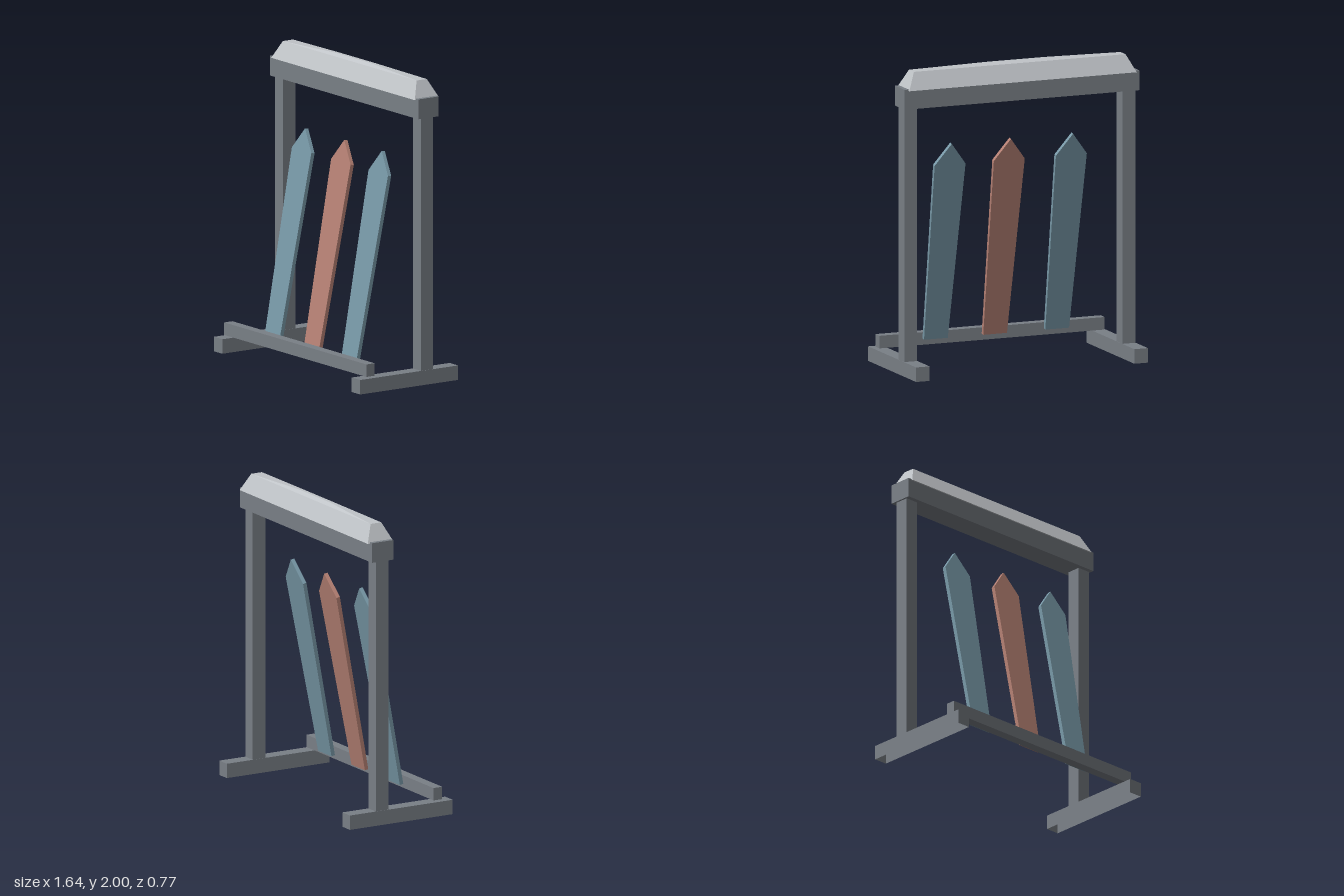
import * as THREE from 'three';
import { ConvexGeometry } from 'three/addons/geometries/ConvexGeometry.js';

const flat = (name, color, side = THREE.FrontSide) => {
  const m = new THREE.MeshStandardMaterial({ color, side, flatShading: true });
  m.name = name;
  return m;
};

export function createModel() {
  const group = new THREE.Group();
  const frame = flat('frame grey', 0x7a8087, THREE.DoubleSide);
  const stone = flat('pale cap grey', 0xc0c4c8);
  const blue = flat('slate blue', 0x7899a8);
  const red = flat('dusty red', 0xb68174);

  const add = (name, geometry, material) => {
    const mesh = new THREE.Mesh(geometry, material);
    mesh.name = name;
    group.add(mesh);
    return mesh;
  };
  // Box given by its lower and upper limits on each axis
  const box = (x0, x1, y0, y1, z0, z1) =>
    new THREE.BoxGeometry(x1 - x0, y1 - y0, z1 - z0)
      .translate((x0 + x1) / 2, (y0 + y1) / 2, (z0 + z1) / 2);

  // Feet (hollow underneath) and posts
  for (const [side, x0, x1] of [['left', 0.716, 0.81], ['right', -0.81, -0.716]]) {
    const foot = box(x0, x1, 0, 0.095, -0.385, 0.385);
    const index = Array.from(foot.index.array);
    index.splice(18, 6); // leave out the underside
    foot.setIndex(index);
    foot.clearGroups();
    add(side + 'Foot', foot, frame);
    add(side + 'Post', box(x0 + 0.002, x1 - 0.002, 0.09, 1.76, -0.19, -0.095), frame);
  }

  // Top beam and low front rail
  add('topBeam', box(-0.82, 0.82, 1.75, 1.88, -0.225, -0.065), frame);
  add('frontRail', box(-0.787, 0.787, 0.103, 0.185, 0.255, 0.32), frame);

  // Sloped cap with a slightly raised middle
  const capPoints = [];
  for (const s of [-1, 1]) {
    for (const [x, y, z] of [
      [0.795, 1.872, -0.055], [0.795, 1.872, -0.242],
      [0.74, 1.985, -0.108], [0.74, 1.985, -0.188],
      [0.2, 2.0, -0.135], [0.2, 2.0, -0.16],
    ]) capPoints.push(new THREE.Vector3(s * x, y, z));
  }
  add('cap', new ConvexGeometry(capPoints), stone);

  // Pointed slats leaning back
  const depth = 0.026;
  const outline = [[-0.083, 0], [0.083, 0], [0.108, 1.2], [0, 1.343], [-0.108, 1.2]];
  const slat = new THREE.ExtrudeGeometry(
    new THREE.Shape(outline.map(([x, y]) => new THREE.Vector2(x, y))),
    { depth, bevelEnabled: false },
  ).translate(0, 0, -depth);
  [[-0.42, blue, 'rightSlat'], [0.014, red, 'middleSlat'], [0.428, blue, 'leftSlat']]
    .forEach(([x, material, name]) => {
      const mesh = add(name, slat, material);
      mesh.position.set(x, 0.157, 0.2);
      mesh.rotation.x = -0.191;
    });

  return group;
}
